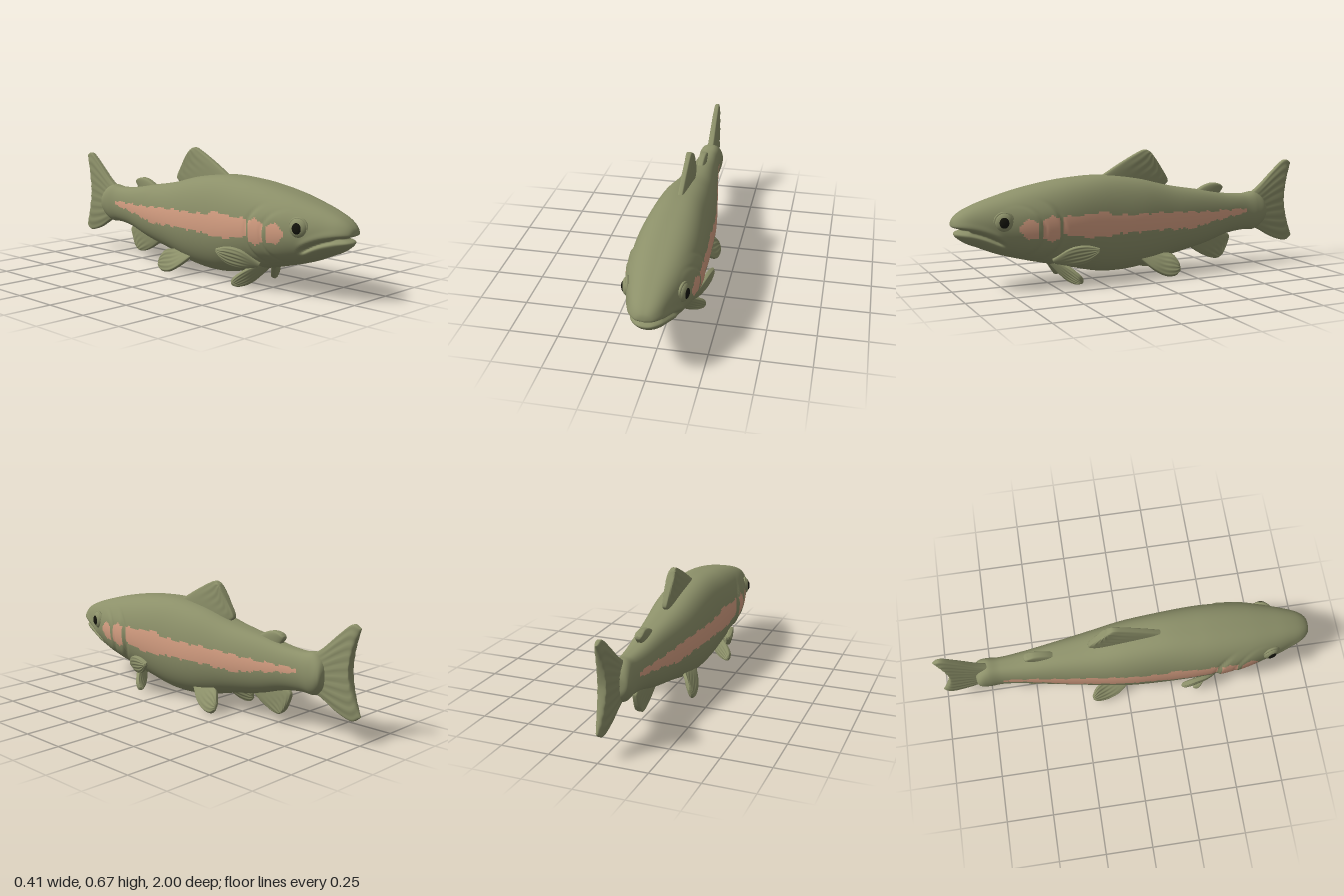
import * as THREE from 'three';

const olive = new THREE.MeshStandardMaterial({ color: 0x8c9069 });
olive.name = 'olive skin';
const pink = new THREE.MeshStandardMaterial({ color: 0xd69f82 });
pink.name = 'pink stripe';
const black = new THREE.MeshStandardMaterial({ color: 0x14140c });
black.name = 'black pupil';

const step = THREE.MathUtils.smoothstep;
const bump = (d, w) => Math.exp(-((d / w) ** 2));
const curve = (pts) => new THREE.CatmullRomCurve3(pts.map((p) => new THREE.Vector3(...p)), false, 'catmullrom', 0.5);

// Turns the faces outward, judged by the enclosed volume
function orient(geo) {
  geo.computeBoundingBox();
  const c = geo.boundingBox.getCenter(new THREE.Vector3());
  const ix = geo.index.array, pos = geo.attributes.position;
  const v = [0, 1, 2].map(() => new THREE.Vector3());
  let volume = 0;
  for (let i = 0; i < ix.length; i += 3) {
    v.forEach((p, k) => p.fromBufferAttribute(pos, ix[i + k]).sub(c));
    volume += v[0].dot(v[1].clone().cross(v[2]));
  }
  if (volume < 0) {
    for (let i = 0; i < ix.length; i += 3) [ix[i], ix[i + 1]] = [ix[i + 1], ix[i]];
  }
  geo.computeVertexNormals();
  return geo;
}

// Closed loops of `sides` points joined into a skin; pick() sorts faces into groups
function skin(points, sides, pick = () => 0) {
  const lists = [[], []];
  const rows = points.length / sides;
  for (let r = 0; r < rows - 1; r++) {
    for (let s = 0; s < sides; s++) {
      const a = r * sides + s, b = r * sides + ((s + 1) % sides);
      const c = a + sides, d = b + sides;
      const y = (points[a].y + points[b].y + points[c].y + points[d].y) / 4;
      const z = (points[a].z + points[b].z + points[c].z + points[d].z) / 4;
      lists[pick(y, z)].push(a, c, b, b, c, d);
    }
  }
  const geo = new THREE.BufferGeometry().setFromPoints(points);
  geo.setIndex(lists[0].concat(lists[1]));
  geo.addGroup(0, lists[0].length, 0);
  if (lists[1].length) geo.addGroup(lists[0].length, lists[1].length, 1);
  return orient(geo);
}

// Body stations from snout to tail root: z, top, bottom, half width
const stations = [
  [1, 0.33, 0.33, 0], [0.988, 0.37, 0.285, 0.045], [0.945, 0.405, 0.252, 0.08],
  [0.87, 0.437, 0.22, 0.108], [0.78, 0.465, 0.183, 0.136], [0.66, 0.497, 0.147, 0.163],
  [0.52, 0.525, 0.112, 0.178], [0.38, 0.543, 0.08, 0.181], [0.2, 0.55, 0.043, 0.172],
  [0, 0.525, 0.05, 0.16], [-0.2, 0.475, 0.097, 0.132], [-0.4, 0.44, 0.14, 0.1],
  [-0.55, 0.413, 0.185, 0.078], [-0.66, 0.405, 0.2, 0.066], [-0.73, 0.412, 0.198, 0.069],
  [-0.775, 0.387, 0.223, 0.068], [-0.796, 0.35, 0.26, 0.052], [-0.8, 0.31, 0.31, 0],
];

// Ragged side stripe: z, top, bottom
const stripe = [
  [-0.66, 0.328, 0.305], [-0.45, 0.33, 0.28], [-0.3, 0.34, 0.25], [-0.1, 0.352, 0.262],
  [0.1, 0.355, 0.265], [0.2, 0.365, 0.26], [0.25, 0.385, 0.257], [0.32, 0.375, 0.255],
  [0.475, 0.37, 0.285], [0.49, 0.37, 0.26], [0.53, 0.38, 0.25], [0.58, 0.36, 0.27],
  [0.6, 0.35, 0.27], [0.65, 0.368, 0.272], [0.695, 0.34, 0.3],
];
function inStripe(y, z) {
  const i = stripe.findIndex((s) => s[0] > z);
  if (i < 1 || (z > 0.475 && z < 0.49) || (z > 0.58 && z < 0.6)) return 0;
  const [a, b] = [stripe[i - 1], stripe[i]];
  const f = (z - a[0]) / (b[0] - a[0]);
  const ragged = 0.004 * Math.sin(z * 61) + 0.003 * Math.sin(z * 143 + 1);
  return y < a[1] + (b[1] - a[1]) * f + ragged && y > a[2] + (b[2] - a[2]) * f - ragged ? 1 : 0;
}

function bodyGeometry() {
  const rows = 221, sides = 144, pts = [];
  const outline = curve(stations.map(([z, t, b]) => [z, t, b]));
  const widths = curve(stations.map((s) => [s[3], 0, 0]));
  for (let r = 0; r < rows; r++) {
    const { x: z0, y: top, z: bottom } = outline.getPoint(r / (rows - 1));
    const w = Math.max(0, widths.getPoint(r / (rows - 1)).x);
    const mid = bottom + (top - bottom) * 0.52;
    for (let s = 0; s < sides; s++) {
      const a = (s / sides) * Math.PI * 2;
      const cs = Math.cos(a), sn = Math.sin(a);
      let z = z0;
      const y = mid + sn * (sn > 0 ? top - mid : mid - bottom);
      let x = w * Math.sign(cs) * Math.abs(cs) ** (sn > 0 ? 0.74 : 0.95);
      // mouth slit with lips, lower jaw set slightly back
      const d = y - (0.315 - 1.33 * (1 - z0) ** 2);
      const k = step(z0, 0.74, 0.8);
      x *= 1 + k * (0.04 * bump(d - 0.028, 0.018) + 0.05 * bump(d + 0.03, 0.02) - 0.26 * bump(d, 0.011));
      z -= step(z0, 0.9, 0.98) * (0.045 * bump(d, 0.011) + 0.008 * step(-d, 0, 0.02));
      // gill cover and cheek plate
      const gill = Math.hypot((z0 - 0.68) / 0.2, (y - 0.3) / 0.18);
      const cheek = Math.hypot((z0 - 0.7) / 0.122, (y - 0.3) / 0.13);
      const fade = (1 - step(z0, 0.5, 0.82)) * (1 - step(Math.abs(y - 0.3), 0.08, 0.17));
      const side = Math.sign(x) * Math.min(1, Math.abs(cs) * 1.6);
      x += side * fade * (0.009 * (1 - step(gill, 0.96, 1.04)) - 0.004 * bump(gill - 1.05, 0.05)
        + 0.005 * (1 - step(cheek, 0.94, 1.05)) - 0.004 * bump(cheek - 1.07, 0.06));
      pts.push(new THREE.Vector3(x, y, z));
    }
  }
  return skin(pts, sides, inStripe);
}

// Rounded fin between a leading and a trailing edge, with rays; notch pulls in the rear edge
function fin(lead, trail, normal, thick, { rays = 6, depth = 0.1, notch = 0 } = {}) {
  const A = curve(lead), B = curve(trail), n = new THREE.Vector3(...normal).normalize();
  const rows = 29, sides = 96, pts = [];
  for (let r = 0; r < rows; r++) {
    const v = 1 - (1 - r / (rows - 1)) ** 1.9;
    const a = A.getPoint(v), b = B.getPoint(v);
    const taper = Math.sqrt(Math.max(0, 1 - v ** 14));
    for (let s = 0; s < sides; s++) {
      const t = (s / sides) * Math.PI * 2;
      const u = (1 - Math.cos(t)) / 2;
      const ray = 1 - depth * step(v, 0.15, 0.5) * (1 - Math.cos(u * rays * Math.PI * 2));
      const h = Math.sign(Math.sin(t)) * Math.abs(Math.sin(t)) ** 0.45 * thick * taper * ray;
      const p = a.clone().lerp(b, u).addScaledVector(n, h);
      p.z += notch * v ** 3 * (1 - Math.abs(2 * u - 1) ** 1.5);
      pts.push(p);
    }
  }
  return skin(pts, sides);
}

export function createModel() {
  const fish = new THREE.Group();
  fish.name = 'fish';
  const add = (name, geo, mat = olive, parent = fish) => {
    const mesh = new THREE.Mesh(geo, mat);
    mesh.name = name;
    parent.add(mesh);
    return mesh;
  };
  const addPair = (name, geo) => {
    add(name + 'Left', geo);
    add(name + 'Right', orient(geo.clone().scale(-1, 1, 1)));
  };
  const flat = (pts) => pts.map(([z, y]) => [0, y, z]);

  add('body', bodyGeometry(), [olive, pink]);

  // Fins on the centre line
  add('dorsalFin', fin(
    flat([[0.22, 0.53], [0.1, 0.6], [0, 0.652], [-0.055, 0.673], [-0.09, 0.66]]),
    flat([[-0.13, 0.46], [-0.18, 0.485], [-0.19, 0.51], [-0.15, 0.575], [-0.1, 0.645]]),
    [1, 0, 0], 0.023, { depth: 0.05 }));
  add('adiposeFin', fin(
    flat([[-0.34, 0.42], [-0.41, 0.46], [-0.47, 0.475], [-0.515, 0.468]]),
    flat([[-0.5, 0.4], [-0.515, 0.42], [-0.53, 0.44], [-0.53, 0.455]]), [1, 0, 0], 0.022, { depth: 0 }));
  add('analFin', fin(
    flat([[-0.3, 0.15], [-0.38, 0.095], [-0.45, 0.06], [-0.5, 0.05], [-0.53, 0.063]]),
    flat([[-0.53, 0.21], [-0.575, 0.18], [-0.578, 0.155], [-0.557, 0.105], [-0.537, 0.073]]),
    [1, 0, 0], 0.021, { depth: 0.06 }));
  add('tailFin', fin(
    flat([[-0.68, 0.38], [-0.77, 0.44], [-0.87, 0.53], [-0.94, 0.583], [-0.985, 0.567]]),
    flat([[-0.68, 0.23], [-0.77, 0.195], [-0.86, 0.145], [-0.95, 0.118], [-1, 0.145]]),
    [1, 0, 0], 0.026, { rays: 9, depth: 0.08, notch: 0.058 }));

  // Paired fins, their roots sunk into the body
  addPair('pectoralFin', fin(
    [[0.105, 0.15, 0.51], [0.16, 0.203, 0.44], [0.183, 0.217, 0.36], [0.193, 0.2, 0.285]],
    [[0.1, 0.125, 0.49], [0.138, 0.115, 0.42], [0.17, 0.133, 0.34], [0.192, 0.185, 0.285]],
    [0.92, -0.27, 0.27], 0.018, { rays: 5 }));
  addPair('lowerFin', fin(
    [[0.015, 0.105, 0.485], [0.075, 0.036, 0.43], [0.13, 0.016, 0.395], [0.165, 0.022, 0.37]],
    [[0.07, 0.145, 0.48], [0.135, 0.1, 0.425], [0.168, 0.065, 0.39], [0.171, 0.038, 0.37]],
    [0.45, -0.3, 0.85], 0.016, { rays: 5 }));
  addPair('pelvicFin', fin(
    [[0.095, 0.105, 0.015], [0.133, 0.047, -0.05], [0.148, 0.014, -0.11], [0.153, 0.011, -0.165], [0.15, 0.033, -0.197]],
    [[0.05, 0.14, -0.04], [0.08, 0.125, -0.12], [0.11, 0.115, -0.17], [0.14, 0.065, -0.2]],
    [0.75, 0.6, 0.15], 0.016, { rays: 5 }));

  // Eyes: rim, ball and pupil facing outward
  for (const side of [1, -1]) {
    const eye = new THREE.Group();
    eye.name = side > 0 ? 'eyeLeft' : 'eyeRight';
    eye.position.set(side * 0.132, 0.357, 0.765);
    eye.rotation.y = side * 1.32;
    add('eyeRim', new THREE.TorusGeometry(0.046, 0.007, 12, 40), olive, eye);
    add('eyeball', new THREE.SphereGeometry(1, 32, 20), olive, eye).scale.set(0.046, 0.047, 0.026);
    const pupil = add('pupil', new THREE.SphereGeometry(1, 28, 16), black, eye);
    pupil.scale.set(0.025, 0.028, 0.012);
    pupil.position.z = 0.018;
    fish.add(eye);
  }
  return fish;
}
